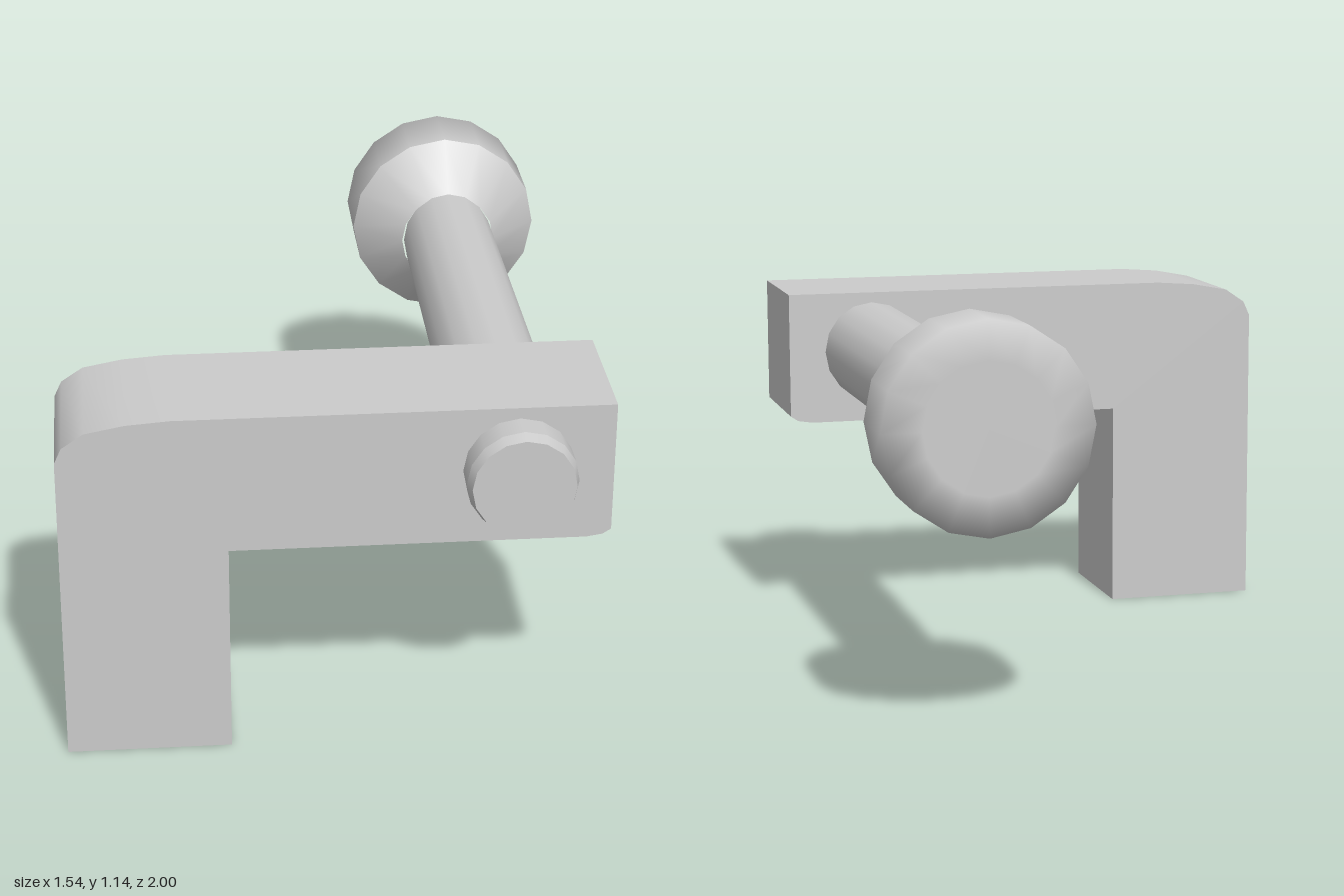
import * as THREE from 'three';
import { toCreasedNormals } from 'three/addons/utils/BufferGeometryUtils.js';

const material = new THREE.MeshStandardMaterial({ color: 0xcccccc });
const AXIS = { x: 0.477, y: 0.85 };
const SIDES = 16;

// Turned section along z; profile entries are [radius, z], from back to front
function turned(name, profile) {
  const points = profile.map(([r, z]) => new THREE.Vector2(r, z));
  const geometry = new THREE.LatheGeometry(points, SIDES);
  geometry.rotateX(Math.PI / 2);
  const mesh = new THREE.Mesh(geometry, material);
  mesh.name = name;
  mesh.position.set(AXIS.x, AXIS.y, 0);
  return mesh;
}

export function createModel() {
  const group = new THREE.Group();
  group.name = 'boltedBracket';

  // L-shaped bracket with a rounded outer corner and a softened lower end
  const outline = [
    [-0.77, 0], [-0.31, 0], [-0.31, 0.63], [0.67, 0.63], [0.715, 0.637], [0.738, 0.652],
    [0.738, 1.033], [-0.46, 1.033], [-0.58, 1.024], [-0.69, 1.003], [-0.75, 0.962], [-0.77, 0.918],
  ].map(([x, y]) => new THREE.Vector2(x, y));
  let body = new THREE.ExtrudeGeometry(new THREE.Shape(outline), { depth: 0.4, bevelEnabled: false });
  body.translate(0, 0, 0.487);
  body = toCreasedNormals(body, 0.6);
  const bracket = new THREE.Mesh(body, material);
  bracket.name = 'bracket';
  group.add(bracket);

  // Shaft, narrowing slightly sideways towards the head
  const shaft = turned('shaft', [[0.152, -0.67], [0.152, 0.965]]);
  const pos = shaft.geometry.attributes.position;
  for (let i = 0; i < pos.count; i++) {
    if (pos.getZ(i) < 0) pos.setX(i, pos.getX(i) * 0.92);
  }
  group.add(shaft);

  // Chamfered tip with a flat end
  group.add(turned('tipChamfer', [[0.152, 0.965], [0.141, 1]]));
  group.add(turned('tipEnd', [[0.141, 1], [0, 1]]));

  // Head: flat-centred back blending softly into the rim, then a conical neck
  group.add(turned('head', [[0, -1], [0.18, -1], [0.291, -1], [0.291, -0.79]]));
  group.add(turned('neck', [[0.291, -0.79], [0.146, -0.665]]));

  return group;
}
